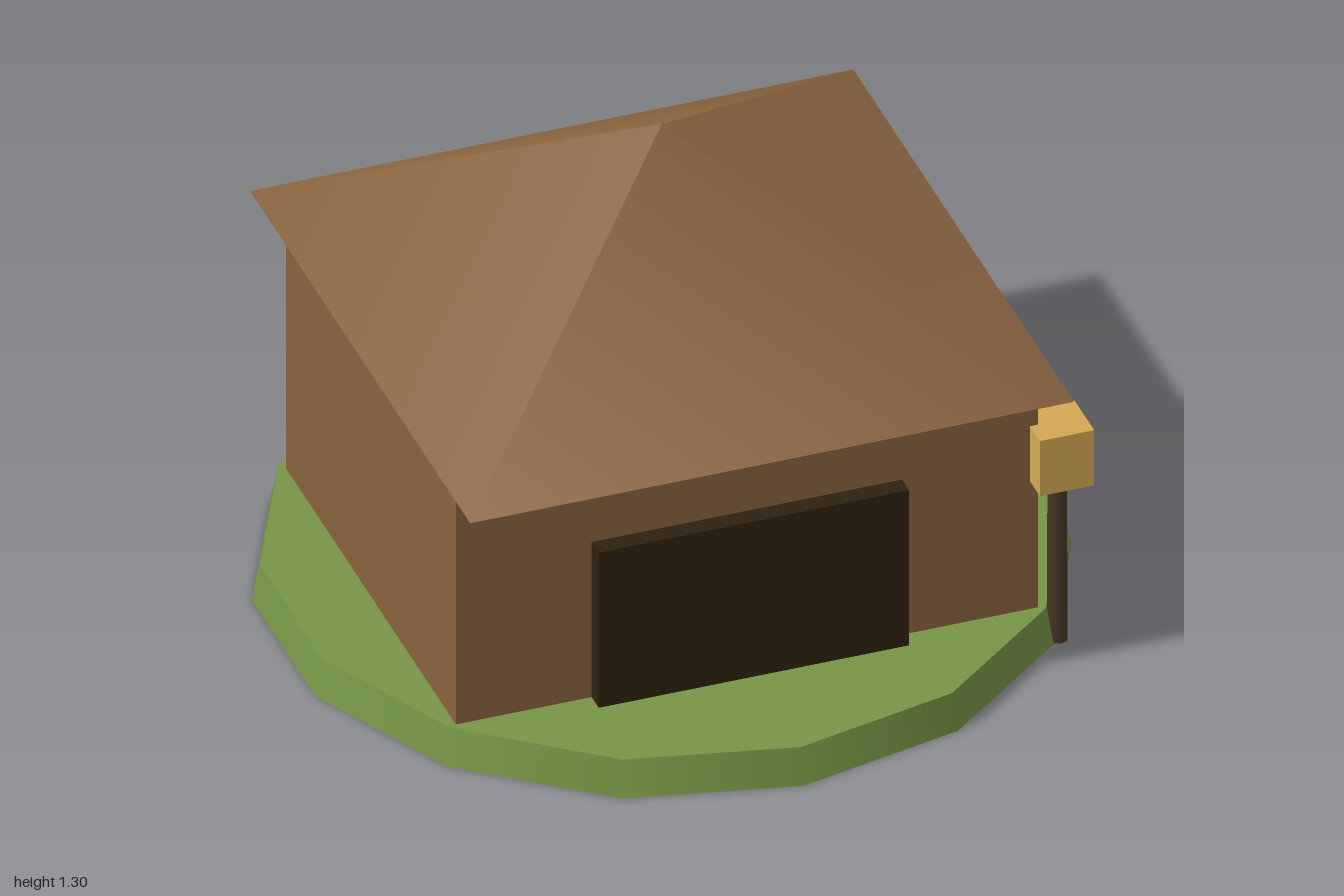
import * as THREE from 'three';

const material = (name, color) => {
  const m = new THREE.MeshStandardMaterial({ color });
  m.name = name;
  return m;
};

export function createModel() {
  const group = new THREE.Group();
  group.name = 'hut';

  const grass = material('grass green', 0x769646);
  const wood = material('wood brown', 0x8a633f);
  const dark = material('dark doorway', 0x2e2210);
  const postWood = material('post brown', 0x4a3526);
  const glow = material('lantern yellow', 0xd4a853);

  const add = (name, geometry, mat, x, y, z) => {
    const mesh = new THREE.Mesh(geometry, mat);
    mesh.name = name;
    mesh.position.set(x, y, z);
    group.add(mesh);
    return mesh;
  };

  // Fourteen-sided grassy mound
  add('ground', new THREE.CylinderGeometry(0.98, 1, 0.1, 14), grass, 0, 0.05, 0);

  // Walls, sunk into the mound
  add('walls', new THREE.BoxGeometry(1.5, 0.798, 1.2), wood, 0, 0.401, 0);

  // Pyramid roof with overhanging eaves
  const roof = new THREE.ConeGeometry(1.1, 0.5, 4).rotateY(Math.PI / 4);
  add('roof', roof, wood, 0, 1.05, 0);

  // Wide door standing proud of the front wall
  add('door', new THREE.BoxGeometry(0.8, 0.5, 0.1), dark, 0, 0.3, 0.6);

  // Lantern on a post beside the front corner
  add('lanternPost', new THREE.CylinderGeometry(0.025, 0.027, 0.5, 8), postWood, 0.8, 0.25, 0.6);
  add('lantern', new THREE.BoxGeometry(0.14, 0.16, 0.14), glow, 0.8, 0.55, 0.6);

  return group;
}
